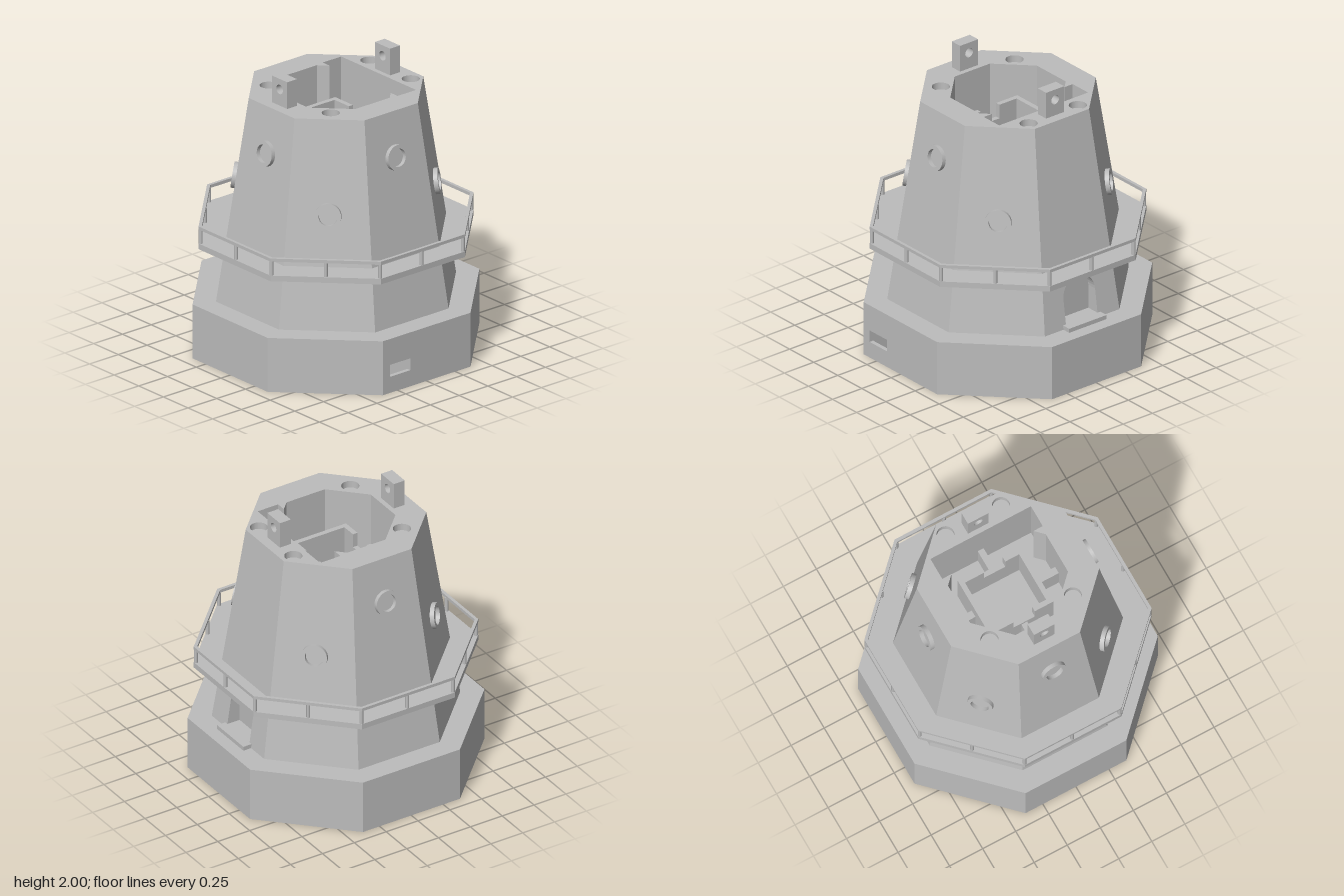
import * as THREE from 'three';

const grey = new THREE.MeshStandardMaterial({ color: 0xbcbcbc, side: THREE.DoubleSide });
grey.name = 'plain grey';

const T = Math.tan(Math.PI / 8);
const LOW = 0.385, HIGH = 1.81, R_LOW = 0.77, R_HIGH = 0.56;
const SLOPE = (R_LOW - R_HIGH) / (HIGH - LOW);
const wallAt = (y) => R_LOW - (y - LOW) * SLOPE;

const poly = (pts) => pts.map(([x, y]) => new THREE.Vector2(x, y));
// Octagon corners, r measured to the flats
const oct = (r) => poly([[r, -r * T], [r, r * T], [r * T, r], [-r * T, r], [-r, r * T], [-r, -r * T], [-r * T, -r], [r * T, -r]]);
const rect = (x0, x1, y0, y1) => poly([[x0, y0], [x1, y0], [x1, y1], [x0, y1]]);
const circle = (x, y, r) => new THREE.Path().absarc(x, y, r, 0, Math.PI * 2, true).getPoints(32);

function shapeOf(outline, holes = []) {
  const s = new THREE.Shape(outline);
  holes.forEach((h) => s.holes.push(new THREE.Path(h)));
  return s;
}

function add(parent, name, geometry) {
  const m = new THREE.Mesh(geometry, grey);
  m.name = name;
  parent.add(m);
  return m;
}

// Upright prism from a plan outline in (x, z)
function prism(outline, holes, y0, y1) {
  return new THREE.ExtrudeGeometry(shapeOf(outline, holes), { depth: y1 - y0, bevelEnabled: false })
    .rotateX(Math.PI / 2).translate(0, y1, 0);
}

function box(x0, x1, y0, y1, z0, z1) {
  return new THREE.BoxGeometry(x1 - x0, y1 - y0, z1 - z0)
    .translate((x0 + x1) / 2, (y0 + y1) / 2, (z0 + z1) / 2);
}

function buildBase(g) {
  // Underside pit with a channel towards the front opening
  const pit = poly([[-0.55, -0.28], [0.55, -0.28], [0.55, 0.28], [-0.14, 0.28], [-0.14, 0.89], [-0.32, 0.89], [-0.32, 0.28], [-0.55, 0.28]]);
  const screws = [];
  for (const x of [-0.66, 0.66]) for (const z of [-0.35, 0.35]) screws.push(circle(x, z, 0.014));
  add(g, 'baseLower', prism(oct(0.92), [pit, ...screws], 0, 0.115));
  const r = 0.92, c = r * T;
  const open = poly([[-0.14, r], [c, r], [r, c], [r, -c], [c, -r], [-c, -r], [-r, -c], [-r, c], [-c, r], [-0.32, r],
    [-0.32, 0.28], [-0.55, 0.28], [-0.55, -0.28], [0.55, -0.28], [0.55, 0.28], [-0.14, 0.28]]);
  add(g, 'baseMiddle', prism(open, [], 0.115, 0.2));
  add(g, 'baseUpper', prism(oct(r), [circle(-0.35, -0.145, 0.055)], 0.2, LOW));
}

function buildTower(g) {
  // Seven plain walls, leaving the doorway side open
  const k = Math.cos(Math.PI / 8);
  const walls = new THREE.CylinderGeometry(R_HIGH / k, R_LOW / k, HIGH - LOW, 7, 1, true, Math.PI * 5 / 8, Math.PI * 7 / 4)
    .translate(0, (HIGH + LOW) / 2, 0).toNonIndexed();
  walls.computeVertexNormals();
  add(g, 'towerWalls', walls);

  // Doorway wall, leaned back to the slope
  const arch = [[-0.135, LOW + 0.001], [0.135, LOW + 0.001]];
  for (let i = 0; i <= 20; i++) {
    const a = Math.PI * i / 20;
    arch.push([0.135 * Math.cos(a), 0.585 + 0.135 * Math.sin(a)]);
  }
  const wall = poly([[-R_LOW * T, LOW], [R_LOW * T, LOW], [R_HIGH * T, HIGH], [-R_HIGH * T, HIGH]]);
  const doorWall = new THREE.ShapeGeometry(shapeOf(wall, [poly(arch)]));
  const p = doorWall.attributes.position;
  for (let i = 0; i < p.count; i++) p.setXYZ(i, wallAt(p.getY(i)), p.getY(i), -p.getX(i));
  doorWall.computeVertexNormals();
  add(g, 'doorWall', doorWall);

  // Recessed door and its reveal
  const doorX = 0.67, v = [];
  add(g, 'door', new THREE.ShapeGeometry(shapeOf(poly(arch))).rotateY(Math.PI / 2).translate(doorX, 0, 0));
  arch.forEach(([u, y], i) => {
    const [u2, y2] = arch[(i + 1) % arch.length];
    const a = [doorX, y, -u], b = [doorX, y2, -u2], c = [wallAt(y2), y2, -u2], d = [wallAt(y), y, -u];
    v.push(...a, ...b, ...c, ...a, ...c, ...d);
  });
  const reveal = new THREE.BufferGeometry();
  reveal.setAttribute('position', new THREE.Float32BufferAttribute(v, 3));
  reveal.computeVertexNormals();
  add(g, 'doorReveal', reveal);
  add(g, 'doorStep', box(0.67, 0.83, LOW, 0.415, -0.16, 0.16));
}

function buildTop(g) {
  // Octagonal opening joined with a rectangular cut-out on one side
  const opening = poly([[-0.15, -0.37], [0.15, -0.37], [0.21, -0.31], [0.21, -0.38], [0.37, -0.38], [0.37, 0.38],
    [0.21, 0.38], [0.21, 0.31], [0.15, 0.37], [-0.15, 0.37], [-0.37, 0.15], [-0.37, -0.15]]);
  const sockets = [[-0.315, -0.315], [-0.315, 0.315], [0.47, -0.21], [0.47, 0.21]].map(([x, z]) => circle(x, z, 0.06));
  add(g, 'rim', prism(oct(R_HIGH), [opening, ...sockets], 1.76, HIGH));
  add(g, 'innerWall', prism(oct(R_HIGH), [opening], 1.3, 1.76));
  add(g, 'innerFloor', prism(oct(R_HIGH), [circle(-0.35, -0.145, 0.055)], 1.26, 1.3));

  // Square tray with side notches, held by spokes
  add(g, 'tray', prism(rect(-0.22, 0.215, -0.26, 0.22), [rect(-0.185, 0.18, -0.225, 0.185)], 1.3, 1.5));
  add(g, 'trayBackEdge', prism(poly([[-0.22, -0.08], [-0.22, -0.26], [0.215, -0.26], [0.215, -0.08], [0.18, -0.08],
    [0.18, -0.225], [-0.185, -0.225], [-0.185, -0.08]]), [], 1.5, 1.6));
  add(g, 'trayFrontEdge', prism(poly([[-0.22, 0.08], [-0.22, 0.22], [0.215, 0.22], [0.215, 0.08], [0.18, 0.08],
    [0.18, 0.185], [-0.185, 0.185], [-0.185, 0.08]]), [], 1.5, 1.6));
  add(g, 'spoke', box(-0.37, -0.22, 1.3, 1.48, -0.022, 0.022));
  add(g, 'spoke', box(0.215, 0.37, 1.3, 1.48, -0.022, 0.022));
  add(g, 'spoke', box(-0.025, 0.025, 1.3, 1.48, -0.37, -0.26));
  add(g, 'spoke', box(-0.025, 0.025, 1.3, 1.48, 0.22, 0.37));

  // Pierced lugs
  const lug = new THREE.ExtrudeGeometry(shapeOf(rect(-0.077, 0.077, HIGH, 2), [circle(0, 1.925, 0.033)]),
    { depth: 0.086, bevelEnabled: false }).rotateY(Math.PI / 2);
  add(g, 'lug', lug).position.x = 0.404;
  add(g, 'lug', lug).position.x = -0.49;
}

function buildBalcony(g) {
  add(g, 'balconyFloor', prism(oct(0.882), [oct(0.69)], 0.775, 0.815));
  add(g, 'balconyRail', prism(oct(0.882), [oct(0.86)], 0.915, 0.937));
  const profile = new THREE.Shape().moveTo(0.68, 0.776).lineTo(0.87, 0.776);
  profile.quadraticCurveTo(0.77, 0.765, 0.722, 0.73).lineTo(0.68, 0.73);
  const bracket = new THREE.ExtrudeGeometry(profile, { depth: 0.04, bevelEnabled: false })
    .translate(0, 0, -0.02).rotateY(-Math.PI / 2);
  const post = new THREE.CylinderGeometry(0.013, 0.013, 0.11, 12);
  const ring = new THREE.ExtrudeGeometry(shapeOf(circle(0, 0, 0.088), [circle(0, 0, 0.062)]),
    { depth: 0.042, bevelEnabled: false }).translate(0, 0, -0.012);
  for (let i = 0; i < 8; i++) {
    const side = new THREE.Group();
    side.name = 'towerSide';
    side.rotation.y = i * Math.PI / 4;
    add(side, 'bracket', bracket);
    add(side, 'railPost', post).position.set(0, 0.865, 0.868);
    add(side, 'cornerPost', post).position.set(0.868 * T, 0.865, 0.868);
    // Portholes, higher on the square sides; none above the door
    if (i !== 2) {
      const y = i % 2 ? 1.16 : 1.5;
      const port = add(side, 'porthole', ring);
      port.position.set(0, y, wallAt(y));
      port.rotation.x = -Math.atan(SLOPE);
    }
    g.add(side);
  }
}

export function createModel() {
  const g = new THREE.Group();
  g.name = 'octagonalTower';
  buildBase(g);
  buildTower(g);
  buildTop(g);
  buildBalcony(g);
  return g;
}
